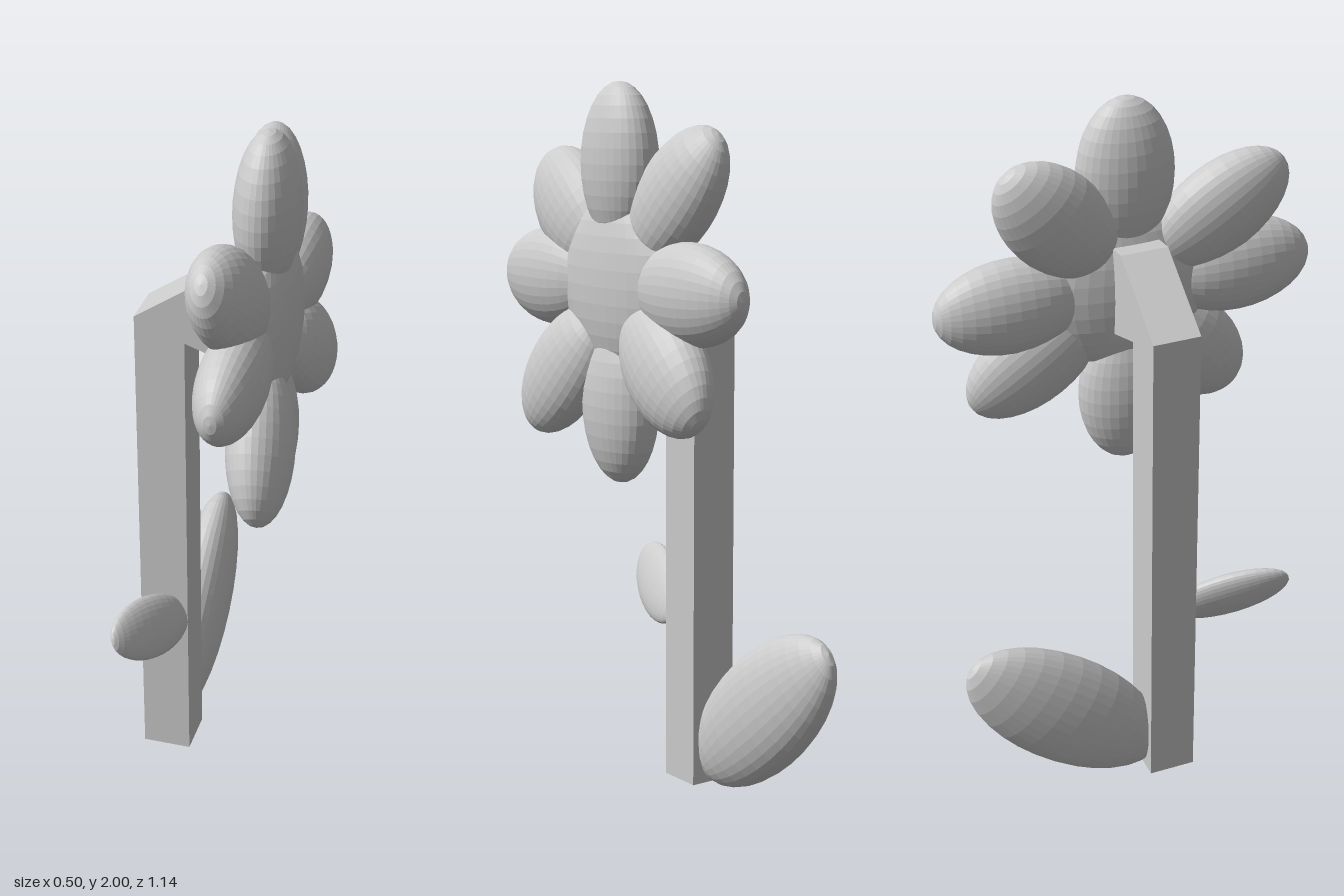
import * as THREE from 'three';

const material = new THREE.MeshStandardMaterial({ color: 0xcccccc });
const faceted = new THREE.MeshStandardMaterial({ color: 0xcccccc, flatShading: true });
const ball = new THREE.SphereGeometry(1, 32, 16);

// Ellipsoid whose long axis (local y) follows `along` and whose width (local z) follows `across`
function ellipsoid(name, center, along, across, [thick, length, width]) {
  const y = new THREE.Vector3(...along).normalize();
  const x = y.clone().cross(new THREE.Vector3(...across)).normalize();
  const z = x.clone().cross(y);
  const mesh = new THREE.Mesh(ball, faceted);
  mesh.name = name;
  mesh.quaternion.setFromRotationMatrix(new THREE.Matrix4().makeBasis(x, y, z));
  mesh.scale.set(thick, length, width);
  mesh.position.set(...center);
  return mesh;
}

// Four petals around the +x axis, at the given angles in degrees from +z
function petalRing(name, angles) {
  const ring = new THREE.Group();
  ring.name = name;
  for (const degrees of angles) {
    const a = THREE.MathUtils.degToRad(degrees);
    const c = Math.cos(a), s = Math.sin(a);
    ring.add(ellipsoid('petal', [0, 0.328 * s, 0.328 * c], [0, s, c], [0, c, -s], [0.088, 0.22, 0.138]));
  }
  return ring;
}

export function createModel() {
  const model = new THREE.Group();
  model.name = 'flower';

  // Square stem, bent at the top and widening into the flower head
  const profile = new THREE.Shape([
    [-0.235, 0], [-0.095, 0], [-0.095, 1.395], [0.08, 1.335],
    [0.08, 1.6], [-0.01, 1.61], [-0.235, 1.457],
  ].map(([x, y]) => new THREE.Vector2(x, y)));
  const stem = new THREE.Mesh(
    new THREE.ExtrudeGeometry(profile, { depth: 0.135, bevelEnabled: false }), material);
  stem.name = 'stem';
  stem.position.z = -0.04;
  model.add(stem);

  // Flower head facing +x: centre disc, upright petals and a tilted diagonal set
  const head = new THREE.Group();
  head.name = 'flowerHead';
  head.position.set(0.112, 1.453, 0.022);
  head.add(ellipsoid('centreDisc', [0, 0, 0], [0, 1, 0], [0, 0, 1], [0.085, 0.245, 0.245]));
  head.add(petalRing('straightPetals', [0, 90, 180, 270]));
  const diagonal = petalRing('diagonalPetals', [37, 130, 218, 309]);
  diagonal.rotation.z = 0.16;
  head.add(diagonal);
  model.add(head);

  // Large leaf at the foot of the stem and a small one higher up
  model.add(ellipsoid('largeLeaf', [-0.165, 0.266, -0.275],
    [0, 0.643, -0.766], [0, 0.766, 0.643], [0.086, 0.36, 0.165]));
  model.add(ellipsoid('smallLeaf', [-0.165, 0.538, 0.23],
    [-0.33, 0.33, 0.88], [-0.25, 0.9, -0.42], [0.035, 0.18, 0.09]));

  return model;
}
